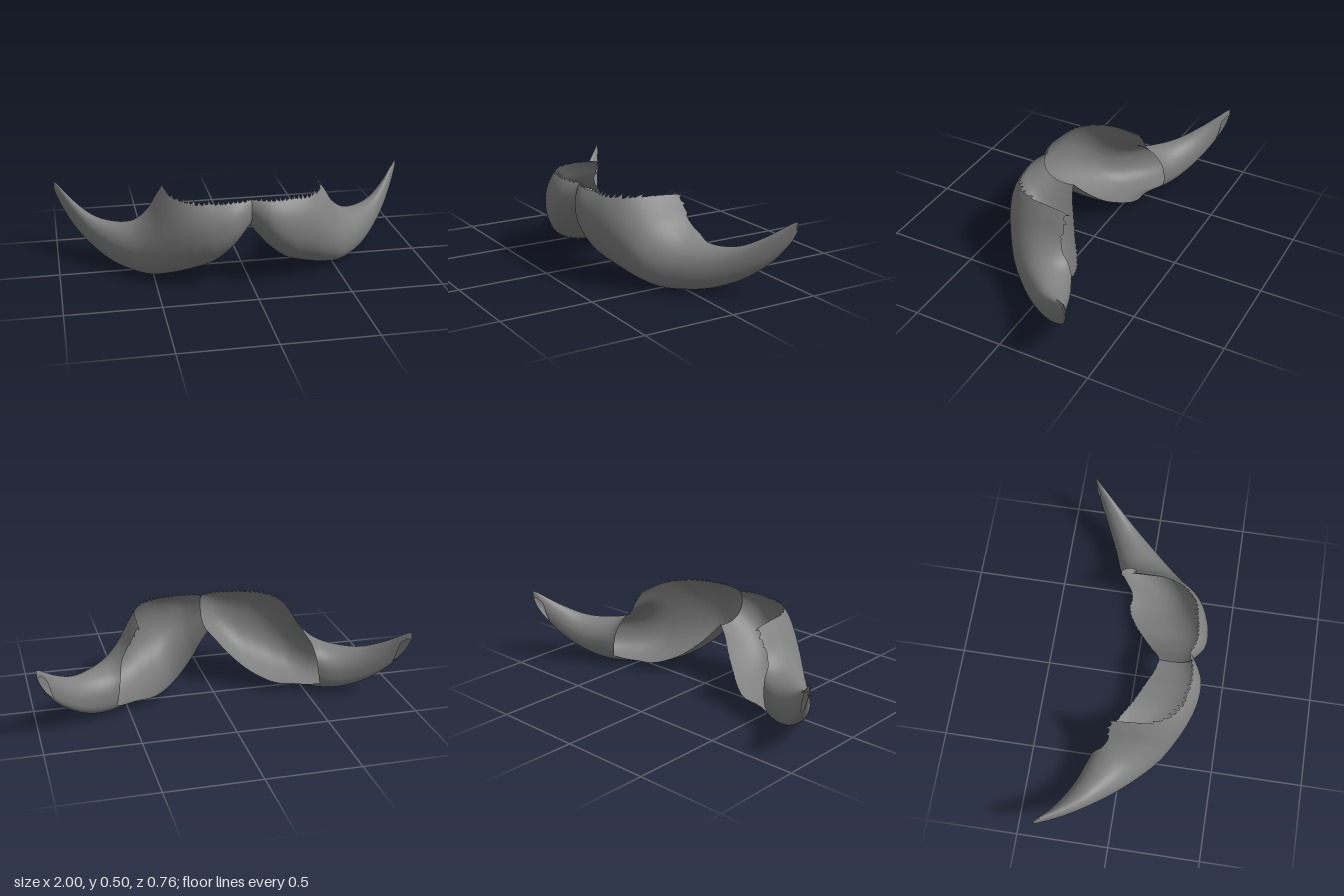
import * as THREE from 'three';
import { mergeVertices } from 'three/addons/utils/BufferGeometryUtils.js';

// Oval cross-sections along one half: x, bottom y, top y, front z, back z
const SECTIONS = [
  [0.00, 0.310, 0.520, 0.312, 0.062],
  [0.05, 0.250, 0.525, 0.347, 0.021],
  [0.10, 0.190, 0.532, 0.370, -0.035],
  [0.20, 0.100, 0.550, 0.372, -0.125],
  [0.30, 0.050, 0.570, 0.345, -0.207],
  [0.36, 0.030, 0.545, 0.318, -0.212],
  [0.40, 0.020, 0.503, 0.295, -0.192],
  [0.45, 0.012, 0.430, 0.262, -0.168],
  [0.50, 0.005, 0.350, 0.225, -0.157],
  [0.55, 0.002, 0.298, 0.180, -0.165],
  [0.60, 0.006, 0.267, 0.130, -0.185],
  [0.70, 0.028, 0.250, 0.022, -0.222],
  [0.80, 0.085, 0.265, -0.098, -0.270],
  [0.90, 0.180, 0.327, -0.228, -0.325],
  [0.95, 0.255, 0.372, -0.300, -0.357],
  [0.98, 0.312, 0.400, -0.344, -0.375],
  [1.00, 0.365, 0.412, -0.372, -0.382],
];

// Where the skin starts (over the top) and ends (under the back): x, degrees, degrees
const ARCS = [
  [0.00, 90, -112],
  [0.30, 90, -112],
  [0.36, 90, -116],
  [0.405, 90, -122],
  [0.42, 110, -122],
  [0.45, 114, -124],
  [0.50, 118, -130],
  [0.53, 128, -138],
  [0.57, 210, -150],
  [0.92, 210, -150],
  [0.95, 150, -135],
  [0.98, 150, -135],
  [1.00, 210, -150],
];

const RIM = 0.475; // height of the open upper edge
const COLUMNS = 160;
const ROWS = 80;
const { clamp, degToRad, lerp, smoothstep } = THREE.MathUtils;

function sampler(Interpolant, rows) {
  const width = rows[0].length - 1;
  const times = rows.map((r) => r[0]);
  const values = rows.flatMap((r) => r.slice(1));
  const interpolant = new Interpolant(times, values, width, new Float32Array(width));
  return (x) => interpolant.evaluate(x);
}

const signedPower = (v, p) => Math.sign(v) * Math.abs(v) ** p;

function halfGeometry(side) {
  const sectionAt = sampler(THREE.CubicInterpolant, SECTIONS);
  const arcAt = sampler(THREE.LinearInterpolant, ARCS);
  let seed = side > 0 ? 11 : 29;
  const random = () => (seed = (seed * 16807) % 2147483647) / 2147483647;
  const positions = [];
  const index = [];

  for (let i = 0; i <= COLUMNS; i++) {
    const x = i / COLUMNS;
    const [bottom, top, front, back] = sectionAt(x);
    const arc = arcAt(x);
    const cy = (bottom + top) / 2;
    const ry = (top - bottom) / 2;
    const cz = (front + back) / 2;
    const rz = (front - back) / 2;

    let start = degToRad(arc[0]);
    let end = degToRad(arc[1]);
    if (top > RIM) start = Math.asin((RIM - cy) / ry);

    // Ragged teeth along the open edges only
    if (x > 0.02 && x < 0.5) {
      const tooth = i % 4 === 0 ? 0.04 + 0.08 * random() : -0.05 * random();
      start += tooth;
      end -= tooth * 0.2;
    }

    // The back is squarer than the front, most of all at the upper crest
    const crest = lerp(0.65, 1, smoothstep(x, 0.45, 0.62));
    const heel = lerp(0.8, 0.7, smoothstep(x, 0.5, 0.65));
    for (let j = 0; j <= ROWS; j++) {
      const a = clamp(degToRad(210 - (360 * j) / ROWS), end, start);
      const c = Math.cos(a);
      const s = Math.sin(a);
      const power = s > 0 ? (c > 0 ? 1 : crest) : (c > 0 ? 0.9 : heel);
      positions.push(side * x, cy + ry * signedPower(s, power), cz + rz * signedPower(c, power));
    }
  }

  for (let i = 0; i < COLUMNS; i++) {
    for (let j = 0; j < ROWS; j++) {
      const a = i * (ROWS + 1) + j;
      const b = a + ROWS + 1;
      if (side > 0) index.push(a, a + 1, b, a + 1, b + 1, b);
      else index.push(a, b, a + 1, a + 1, b, b + 1);
    }
  }

  const geometry = new THREE.BufferGeometry();
  geometry.setAttribute('position', new THREE.Float32BufferAttribute(positions, 3));
  geometry.setIndex(index);
  const welded = mergeVertices(geometry, 1e-5);
  welded.computeVertexNormals();
  return welded;
}

export function createModel() {
  const grey = new THREE.MeshStandardMaterial({ color: 0x808080, side: THREE.DoubleSide });
  grey.name = 'grey';

  // Two mirrored hollow halves that meet at the middle crease
  const moustache = new THREE.Group();
  moustache.name = 'moustache';
  for (const [name, side] of [['leftHalf', 1], ['rightHalf', -1]]) {
    const half = new THREE.Mesh(halfGeometry(side), grey);
    half.name = name;
    moustache.add(half);
  }
  return moustache;
}
